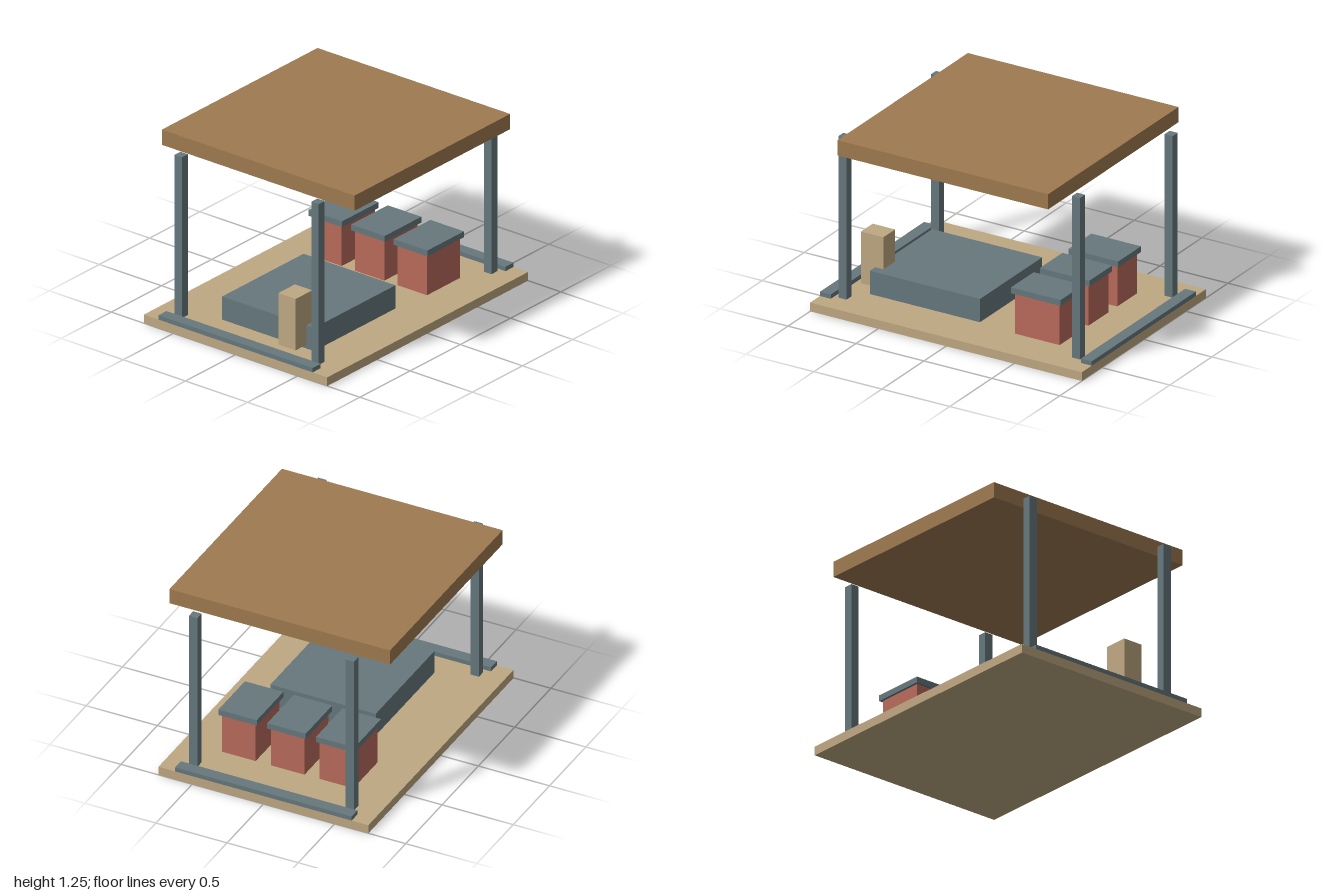
import * as THREE from 'three';

const material = (color) => new THREE.MeshStandardMaterial({ color });

export function createModel() {
  const model = new THREE.Group();
  const sand = material(0xbfa882);
  const wood = material(0x9f7a50);
  const slate = material(0x66787d);
  const red = material(0xb96a5b);

  // Box given by its centre in x and z, its bottom and top heights, and its footprint
  function block(name, mat, x, z, bottom, top, width, depth) {
    const mesh = new THREE.Mesh(new THREE.BoxGeometry(width, top - bottom, depth), mat);
    mesh.name = name;
    mesh.position.set(x, (bottom + top) / 2, z);
    model.add(mesh);
  }

  // Floor and floating flat roof
  block('floor', sand, 0, 0, 0, 0.06, 2, 1.475);
  block('roof', wood, 0, 0, 1.14, 1.245, 1.55, 1.55);

  // Corner posts and side rails
  for (const side of [-1, 1]) {
    const label = side > 0 ? 'left' : 'right';
    block(label + 'Rail', slate, side * 0.96, 0, 0.06, 0.09, 0.08, 1.24);
    for (const end of [-1, 1]) {
      block(label + (end > 0 ? 'FrontPost' : 'BackPost'), slate, side * 0.86, end * 0.55, 0.06, 1.17, 0.06, 0.06);
    }
  }

  // Low platform with an upright block beside it
  block('platform', slate, -0.345, 0.06, 0.06, 0.22, 0.81, 0.74);
  block('uprightBlock', sand, -0.773, 0.297, 0.085, 0.44, 0.165, 0.14);

  // Row of three lidded crates
  for (let i = -1; i <= 1; i++) {
    block('crate', red, 0.5, i * 0.343, 0.06, 0.34, 0.33, 0.236);
    block('crateLid', slate, 0.5, i * 0.343, 0.34, 0.38, 0.365, 0.27);
  }

  return model;
}
